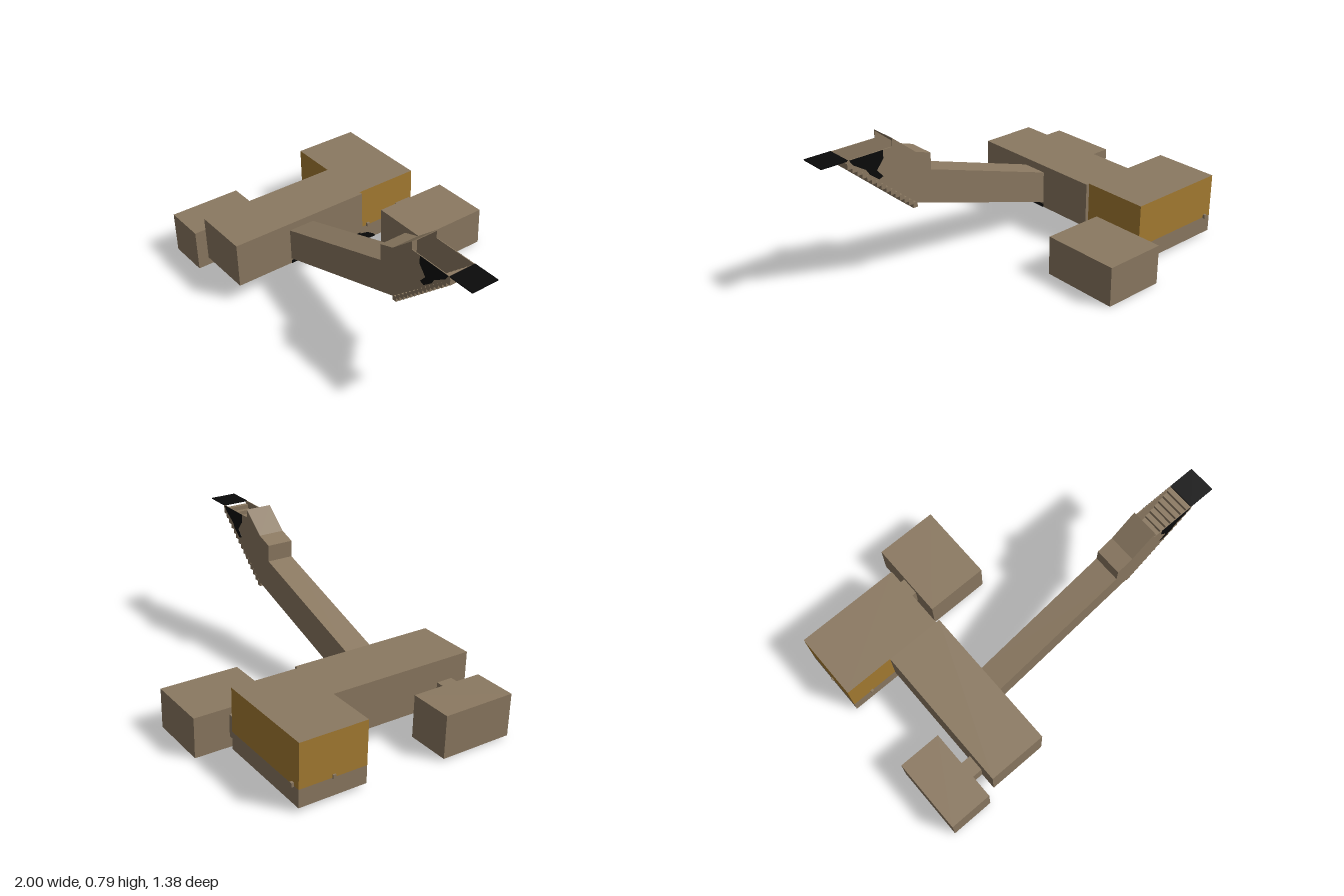
import * as THREE from 'three';

export function createModel() {
  const model = new THREE.Group();
  const mat = (name, color) => {
    const m = new THREE.MeshStandardMaterial({ color });
    m.name = name;
    return m;
  };
  const tan = mat('tan metal', 0x8b7961);
  const ochre = mat('ochre panel', 0xa67c32);
  const black = mat('black rubber', 0x0a0a0a);

  const add = (name, geometry, material, parent = model) => {
    const mesh = new THREE.Mesh(geometry, material);
    mesh.name = name;
    parent.add(mesh);
    return mesh;
  };
  // Box from its minimum and maximum corners
  const box = (name, material, [x0, y0, z0], [x1, y1, z1], parent) => {
    const g = new THREE.BoxGeometry(x1 - x0, y1 - y0, z1 - z0);
    g.translate((x0 + x1) / 2, (y0 + y1) / 2, (z0 + z1) / 2);
    return add(name, g, material, parent);
  };
  // Side profile in x and y, extruded from z0 to z1
  const profile = (name, material, points, z0, z1, parent) => {
    const shape = new THREE.Shape(points.map(([x, y]) => new THREE.Vector2(x, y)));
    const g = new THREE.ExtrudeGeometry(shape, { depth: z1 - z0, bevelEnabled: false });
    g.translate(0, 0, z0);
    return add(name, g, material, parent);
  };

  // Main body and rear housing; the housing's upper sides are ochre
  box('body', tan, [-0.71, 0.10, -0.15], [-0.39, 0.35, 0.65]);
  box('rearBase', tan, [-0.98, 0.02, -0.515], [-0.41, 0.115, -0.15]);
  const sides = [ochre, ochre, tan, tan, ochre, ochre];
  box('rearHousing', sides, [-0.98, 0.115, -0.515], [-0.41, 0.35, -0.15]);

  // Two side units and their connectors
  box('frontSideUnit', tan, [-1, 0.01, 0.285], [-0.765, 0.24, 0.685]);
  box('frontConnector', tan, [-0.77, 0.10, 0.47], [-0.705, 0.23, 0.56]);
  box('backSideUnit', tan, [-0.36, 0, -0.69], [-0.02, 0.215, -0.26]);
  box('backConnector', tan, [-0.415, 0.06, -0.50], [-0.355, 0.18, -0.40]);

  // Small knobs around the rear housing
  [[-0.98, -0.33], [-0.935, -0.52], [-0.865, -0.145], [-0.405, -0.20]].forEach(([x, z]) =>
    box('knob', tan, [x - 0.008, 0.11, z - 0.008], [x + 0.008, 0.132, z + 0.008]));

  // Sloping arm with a raised collar at its upper end
  const zA = 0.178, zB = 0.325;
  const arm = new THREE.Group();
  arm.name = 'arm';
  model.add(arm);
  profile('armBeam', tan, [
    [-0.395, 0.128], [0.47, 0.405], [0.47, 0.68], [0.38, 0.65], [0.38, 0.56], [-0.395, 0.308],
  ], zA, zB, arm);

  // Open head: two side walls, a sloping roof and a black patch on each wall
  const wall = [[0.47, 0.405], [0.86, 0.73], [0.86, 0.745], [0.605, 0.745], [0.605, 0.79], [0.47, 0.68]];
  const patch = [
    [0.66, 0.744], [0.66, 0.70], [0.70, 0.65], [0.665, 0.61], [0.69, 0.60],
    [0.74, 0.64], [0.76, 0.67], [0.83, 0.715], [0.85, 0.744],
  ];
  const t = 0.004;
  [zA, zB - t].forEach((z) => profile('headWall', tan, wall, z, z + t, arm));
  [zA - 0.001, zB - 0.001].forEach((z) => profile('wallPatch', black, patch, z, z + 0.002, arm));
  profile('headRoof', tan, [[0.47, 0.674], [0.605, 0.784], [0.605, 0.79], [0.47, 0.68]], zA, zB, arm);

  // Stepped belt under the head
  const steps = 15;
  for (let i = 0; i < steps; i++) {
    const x = 0.47 + i * 0.026;
    const y = 0.383 + i * 0.0225;
    box('step', tan, [x, y, zA + 0.001], [x + 0.026, y + 0.03, zB - 0.001], arm);
  }
  box('landingPlate', black, [0.855, 0.741, zA], [1, 0.747, zB], arm);

  // Black details on the underside and the lower housing
  box('armBaseSeal', black, [-0.394, 0.10, zA], [-0.387, 0.118, zB]);
  box('basePatchFront', black, [-0.505, 0.02, -0.152], [-0.41, 0.10, -0.147]);
  const corner = new THREE.Shape([
    [0.15, 0.02], [0.255, 0.02], [0.245, 0.035], [0.20, 0.065], [0.15, 0.075],
  ].map(([x, y]) => new THREE.Vector2(x, y)));
  const cornerGeo = new THREE.ExtrudeGeometry(corner, { depth: 0.003, bevelEnabled: false });
  cornerGeo.rotateY(Math.PI / 2).translate(-0.411, 0, 0);
  add('basePatchSide', cornerGeo, black);
  box('undersidePatch', black, [-0.79, 0.018, -0.37], [-0.61, 0.021, -0.29]);
  box('undersidePatch', black, [-0.46, 0.098, 0.19], [-0.395, 0.101, 0.31]);
  box('undersidePatch', black, [-0.71, 0.098, 0.44], [-0.60, 0.101, 0.58]);

  return model;
}
